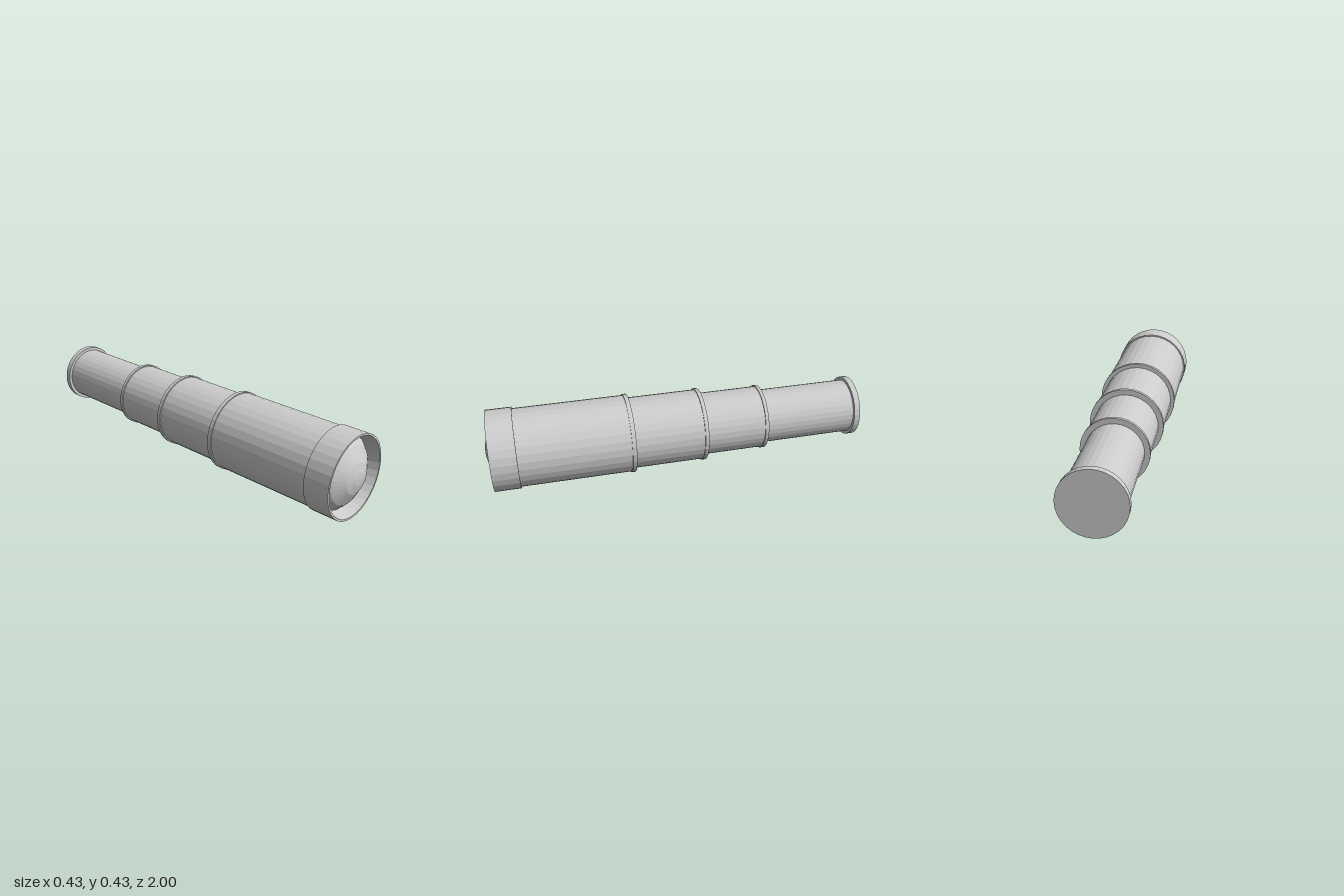
import * as THREE from 'three';

const SIDES = 32;
const AXIS_Y = 0.213;
const material = new THREE.MeshStandardMaterial({ color: 0xcccccc, flatShading: true, side: THREE.DoubleSide });

// Revolve [radius, z] points around the long axis
function turned(name, points) {
  const geometry = new THREE.LatheGeometry(points.map(([r, z]) => new THREE.Vector2(r, z)), SIDES);
  geometry.rotateX(Math.PI / 2);
  const mesh = new THREE.Mesh(geometry, material);
  mesh.name = name;
  mesh.position.y = AXIS_Y;
  return mesh;
}

// Ring with a rectangular section
const ring = (name, inner, outer, z0, z1) =>
  turned(name, [[inner, z0], [outer, z0], [outer, z1], [inner, z1]]);

export function createModel() {
  const group = new THREE.Group();
  group.name = 'spyglass';

  // Telescoping tubes, widest at the front: [radius, back z, front z]
  const tubes = [
    [0.205, 0.25, 0.85],
    [0.189, -0.13, 0.26],
    [0.167, -0.465, -0.12],
    [0.145, -0.98, -0.455],
  ];
  tubes.forEach(([r, z0, z1], i) => group.add(turned(`tube${i + 1}`, [[r, z0], [r, z1]])));

  // Collars where each tube slides into the next: [inner, outer, back z, front z]
  const collars = [
    [0.188, 0.21, 0.245, 0.267],
    [0.166, 0.195, -0.14, -0.12],
    [0.144, 0.173, -0.475, -0.457],
  ];
  collars.forEach((c, i) => group.add(ring(`collar${i + 1}`, ...c)));

  // Front housing with a bevelled inner wall down to the lens
  group.add(turned('lensHousing', [
    [0.204, 0.842], [0.213, 0.842], [0.213, 0.977], [0.203, 0.977], [0.181, 0.915],
  ]));

  // Domed lens
  group.add(turned('lens', [
    [0.181, 0.915], [0.147, 0.948], [0.08, 0.985], [0.032, 0.998], [0, 1],
  ]));

  // Eyepiece disc at the back
  group.add(turned('eyepiece', [
    [0, -1], [0.162, -1], [0.162, -0.968], [0.144, -0.968],
  ]));

  return group;
}
